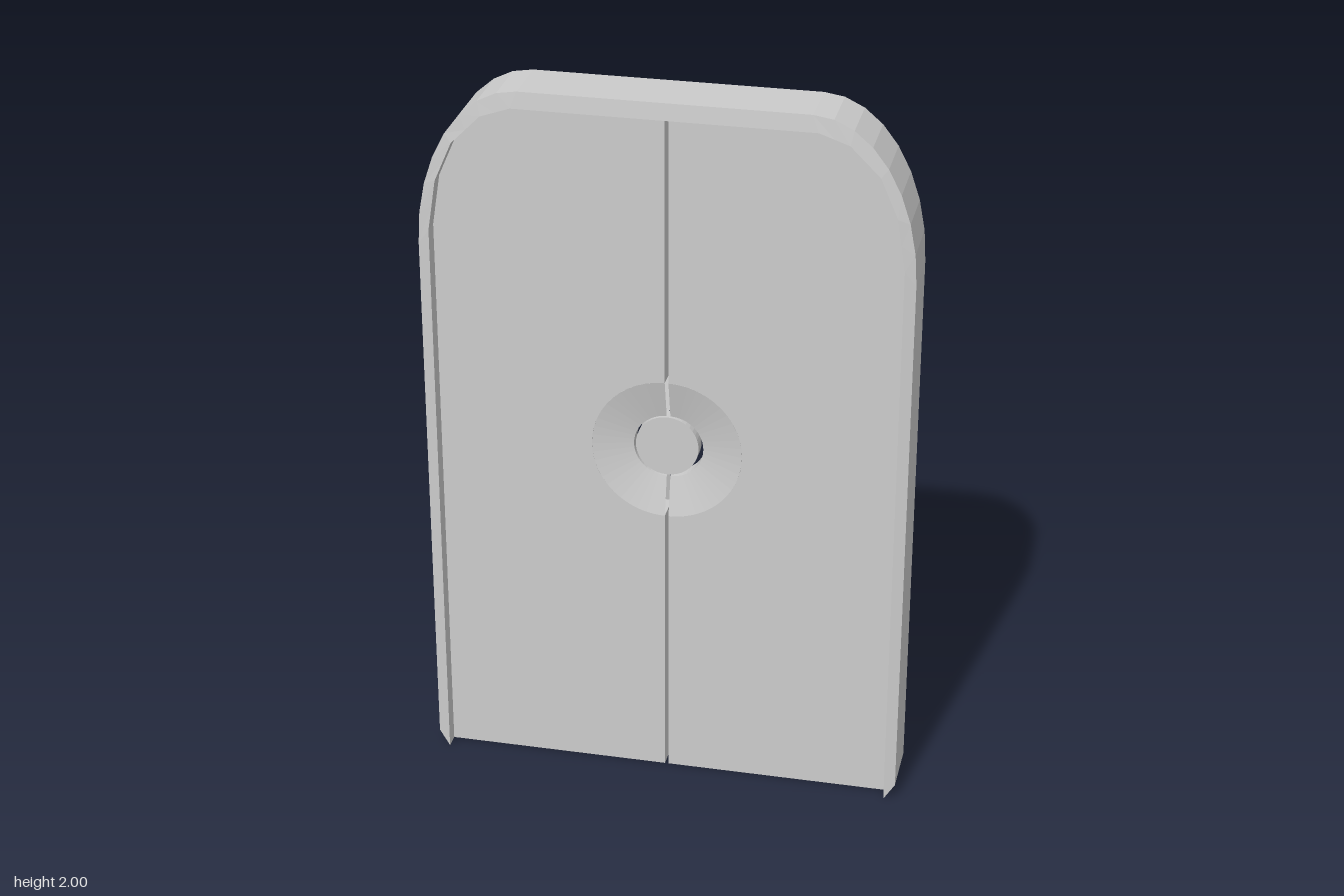
import * as THREE from 'three';

const GAP = 0.005;      // half the seam between the leaves
const LEAF = 0.045;     // half the leaf thickness
const CENTER_Y = 1;     // height of the round recess

const grey = new THREE.MeshStandardMaterial({ color: 0xcccccc, flatShading: true, side: THREE.DoubleSide });

// Inner opening, right half, from the floor up to the top corner
const INNER = [[0.625, 0], [0.625, 1.6], [0.603, 1.74], [0.556, 1.848], [0.477, 1.927], [0.397, 1.955]];

// Mirrors a half outline so it runs from the +x foot over the top to the -x foot
const mirrored = (half) => [...half, ...half.map(([x, y]) => [-x, y]).reverse()];

// Arched frame: a four-cornered section lofted along the outline
function frameGeometry() {
  const outer = [[0.655, 0.045]];
  const inner = [INNER[0]];
  for (let i = 0; i <= 8; i++) {
    const a = (i / 8) * Math.PI / 2;
    outer.push([0.38 + 0.275 * Math.cos(a), 1.56 + 0.44 * Math.sin(a)]);
    // each coarse inner edge is halved to match the finer outer arc
    const k = 1 + Math.floor(i / 2), p = INNER[k], q = INNER[Math.min(k + 1, 5)];
    const t = (i % 2) / 2;
    inner.push([p[0] + (q[0] - p[0]) * t, p[1] + (q[1] - p[1]) * t]);
  }
  const out = mirrored(outer), inn = mirrored(inner);
  const pos = [], idx = [];
  out.forEach(([ox, oy], i) => {
    const [ix, iy] = inn[i];
    pos.push(ox, oy, -0.082, ox, oy, 0.082, ix, iy, 0.088, ix, iy, -0.088);
  });
  for (let i = 0; i < out.length - 1; i++) {
    for (let j = 0; j < 4; j++) {
      const a = i * 4 + j, b = i * 4 + (j + 1) % 4;
      idx.push(a, a + 4, b, b, a + 4, b + 4);
    }
  }
  // feet
  const e = (out.length - 1) * 4;
  idx.push(0, 1, 2, 0, 2, 3, e, e + 2, e + 1, e, e + 3, e + 2);
  const geo = new THREE.BufferGeometry();
  geo.setAttribute('position', new THREE.Float32BufferAttribute(pos, 3));
  geo.setIndex(idx);
  geo.computeVertexNormals();
  return geo;
}

// One leaf on the +x side: slab with a half-round notch, filled by a conical half ring
function doorLeaf(name) {
  const leaf = new THREE.Group();
  leaf.name = name;

  const shape = new THREE.Shape();
  shape.moveTo(GAP, 0);
  INNER.forEach(([x, y]) => shape.lineTo(x, y));
  shape.lineTo(GAP, 1.955);
  shape.lineTo(GAP, CENTER_Y + 0.2);
  shape.absarc(GAP, CENTER_Y, 0.2, Math.PI / 2, -Math.PI / 2, true);
  shape.closePath();
  const slab = new THREE.ExtrudeGeometry(shape, { depth: LEAF * 2, bevelEnabled: false, curveSegments: 24 });
  slab.translate(0, 0, -LEAF);
  const panel = new THREE.Mesh(slab, grey);
  panel.name = 'leafPanel';

  const profile = [[0.2, -LEAF], [0.2, LEAF], [0.09, 0.02], [0.09, -0.02], [0.2, -LEAF]];
  const ring = new THREE.LatheGeometry(profile.map(([r, z]) => new THREE.Vector2(r, z)), 24, 0, Math.PI);
  ring.rotateX(Math.PI / 2);
  ring.translate(GAP, CENTER_Y, 0);
  const recess = new THREE.Mesh(ring, grey);
  recess.name = 'conicalRecess';

  leaf.add(panel, recess);
  return leaf;
}

export function createModel() {
  const model = new THREE.Group();
  model.name = 'slidingDoor';

  const frame = new THREE.Mesh(frameGeometry(), grey);
  frame.name = 'frame';

  const leftLeaf = doorLeaf('leftLeaf');
  const rightLeaf = doorLeaf('rightLeaf');
  rightLeaf.rotation.y = Math.PI;

  // Lock disc, carried by the right leaf
  const lock = new THREE.CylinderGeometry(0.086, 0.086, 0.04, 40);
  lock.rotateX(Math.PI / 2);
  const disc = new THREE.Mesh(lock, grey);
  disc.name = 'lockDisc';
  disc.position.set(-0.004, CENTER_Y, 0);

  model.add(frame, leftLeaf, rightLeaf, disc);
  return model;
}
